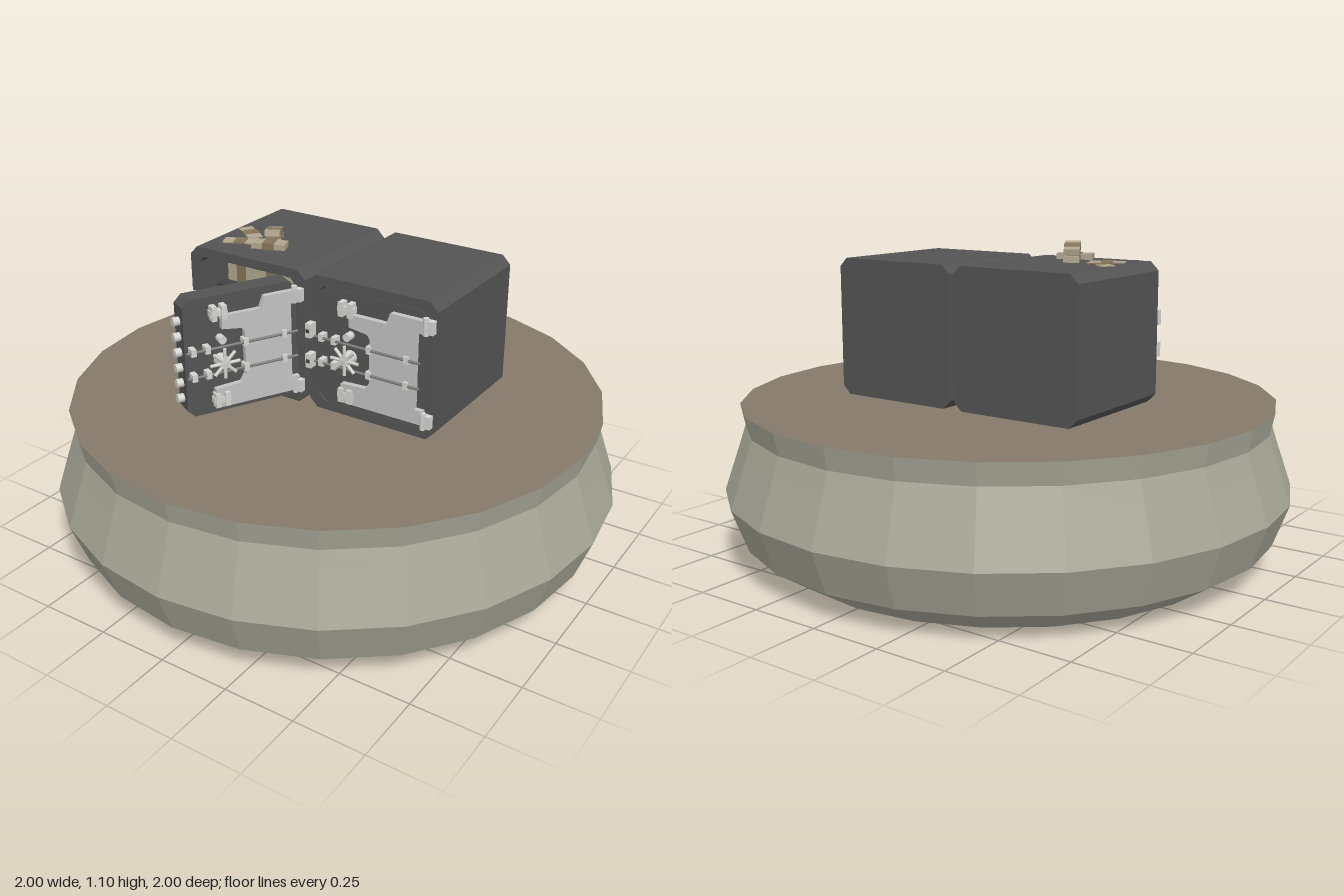
import * as THREE from 'three';

const mat = (name, color) => {
  const m = new THREE.MeshStandardMaterial({ color });
  m.name = name;
  return m;
};

export function createModel() {
  const stone = mat('stone', 0xa8a898);
  const earth = mat('earth', 0x86796a);
  const steel = mat('dark steel', 0x545454);
  const inner = mat('interior', 0x424242);
  const plateMat = mat('plate grey', 0xc2c2c2);
  const silver = mat('silver', 0xd4d4d2);
  const rodMat = mat('rod grey', 0x7c7c7c);
  const paper = mat('paper', 0xb0a68e);
  const band = mat('paper band', 0x85745a);

  const root = new THREE.Group();
  root.name = 'safesOnPedestal';

  const add = (parent, name, geo, material, x = 0, y = 0, z = 0) => {
    const m = new THREE.Mesh(geo, material);
    m.name = name;
    m.position.set(x, y, z);
    parent.add(m);
    return m;
  };
  const box = (parent, name, material, w, h, d, x, y, z) =>
    add(parent, name, new THREE.BoxGeometry(w, h, d), material, x, y, z);
  const group = (parent, name, x = 0, y = 0, z = 0) => {
    const g = new THREE.Group();
    g.name = name;
    g.position.set(x, y, z);
    parent.add(g);
    return g;
  };

  // Rectangle with cut corners, centred on cx, 0
  const cutRect = (w, h, c, cx = 0) => {
    const a = w / 2, b = h / 2;
    return [[-a + c, -b], [a - c, -b], [a, -b + c], [a, b - c], [a - c, b], [-a + c, b], [-a, b - c], [-a, -b + c]]
      .map(([x, y]) => new THREE.Vector2(x + cx, y));
  };
  const slab = (points, depth, hole) => {
    const s = new THREE.Shape(points);
    if (hole) s.holes.push(new THREE.Path(hole));
    return new THREE.ExtrudeGeometry(s, { depth, bevelEnabled: false });
  };

  // Faceted round pedestal
  const profile = [[0, 0], [0.81, 0], [0.945, 0.09], [1, 0.24], [0.945, 0.40], [0.922, 0.47], [0.937, 0.545]]
    .map(([r, y]) => new THREE.Vector2(r, y));
  const pedestal = new THREE.LatheGeometry(profile, 24).toNonIndexed();
  pedestal.computeVertexNormals();
  add(root, 'pedestal', pedestal, stone);
  add(root, 'pedestalTop', new THREE.CircleGeometry(0.937, 24).rotateX(-Math.PI / 2), earth, 0, 0.545, 0);

  // Banded bundle of notes
  const bundle = (parent, x, y, z, turn = 0, tilt = 0, len = 0.12) => {
    const g = group(parent, 'noteBundle', x, y, z);
    g.rotation.set(0, turn, tilt);
    box(g, 'notes', paper, len, 0.02, 0.052, 0, 0, 0);
    box(g, 'noteBand', band, 0.04, 0.024, 0.055, 0, 0, 0);
  };

  // Door: hinge on the right edge at x = 0, outer face at z = 0
  const buildDoor = (parent) => {
    const g = group(parent, 'door');
    add(g, 'doorPanel', slab(cutRect(0.405, 0.415, 0.025, -0.2035), 0.07), steel, 0, 0, -0.07);
    add(g, 'innerPanel', slab(cutRect(0.34, 0.35, 0.03, -0.2035), 0.006), rodMat, 0, 0, -0.076);

    // Raised cover plate with bracket shaped outline
    const outline = [[-0.31, -0.185], [0, -0.185], [0, -0.135], [-0.03, -0.135], [-0.03, 0.135], [0, 0.135],
      [0, 0.18], [-0.125, 0.18], [-0.14, 0.14], [-0.28, 0.14], [-0.28, 0.095], [-0.21, 0.085],
      [-0.2, 0.07], [-0.2, -0.085], [-0.215, -0.11], [-0.31, -0.115]];
    add(g, 'coverPlate', slab(outline.map(([x, y]) => new THREE.Vector2(x, y)), 0.02), plateMat);

    // Corner brackets
    for (const y of [0.155, -0.155]) {
      box(g, 'bracketBase', silver, 0.06, 0.02, 0.026, -0.29, y, 0.013);
      for (const x of [-0.307, -0.273]) box(g, 'bracketTab', silver, 0.018, 0.05, 0.03, x, y, 0.015);
    }
    // Cross rods with clips
    for (const y of [0.035, -0.055]) {
      const rod = new THREE.CylinderGeometry(0.005, 0.005, 0.4, 8).rotateZ(Math.PI / 2);
      add(g, 'crossRod', rod, rodMat, -0.21, y, 0.025);
      for (const x of [-0.385, -0.335, -0.2, -0.06]) box(g, 'rodClip', silver, 0.018, 0.026, 0.03, x, y, 0.015);
    }
    // Spoked hand wheel
    const wheel = group(g, 'handWheel', -0.283, -0.018, 0);
    add(wheel, 'wheelHub', new THREE.CylinderGeometry(0.02, 0.024, 0.045, 12).rotateX(Math.PI / 2), silver, 0, 0, 0.022);
    for (let i = 0; i < 4; i++) {
      const spoke = new THREE.CylinderGeometry(0.006, 0.006, 0.105, 8);
      add(wheel, 'wheelSpoke', spoke, silver, 0, 0, 0.04).rotation.z = (i * Math.PI) / 4;
    }
    // Dial below the rods
    add(g, 'dial', new THREE.CylinderGeometry(0.014, 0.014, 0.03, 12).rotateX(Math.PI / 2), silver, -0.283, 0.06, 0.015);
    // Locking bolts on the free edge
    for (let i = 0; i < 6; i++) {
      const bolt = new THREE.CylinderGeometry(0.015, 0.015, 0.024, 12).rotateZ(Math.PI / 2);
      add(g, 'lockingBolt', bolt, silver, -0.416, -0.145 + i * 0.055, -0.035);
    }
    return g;
  };

  // Hollow safe with door and frame fittings
  const buildSafe = (name, cx, angle) => {
    const g = group(root, name, cx, 0.788, 0);
    const outer = cutRect(0.484, 0.484, 0.03);
    add(g, 'safeShell', slab(outer, 0.465, cutRect(0.414, 0.418, 0.025).reverse()), steel, 0, 0, -0.29);
    add(g, 'safeBack', slab(outer, 0.04), steel, 0, 0, -0.33);
    const door = buildDoor(g);
    door.position.set(0.206, 0, 0.175);
    door.rotation.y = angle;
    // Hinges on the right of the frame, catches on the left
    for (const y of [0.162, -0.17]) {
      box(g, 'hingeLeaf', silver, 0.026, 0.045, 0.024, 0.224, y, 0.185);
      add(g, 'hingePin', new THREE.CylinderGeometry(0.01, 0.01, 0.06, 10), silver, 0.208, y, 0.19);
    }
    for (const y of [0.05, -0.06]) {
      box(g, 'catch', silver, 0.022, 0.05, 0.036, -0.227, y, 0.19);
      box(g, 'catchSlot', inner, 0.012, 0.012, 0.006, -0.227, y, 0.208);
    }
    return g;
  };

  buildSafe('closedSafe', 0.247, 0);
  const open = buildSafe('openSafe', -0.253, (62 * Math.PI) / 180);

  // Shelves and contents of the open safe
  box(open, 'interiorBack', inner, 0.41, 0.415, 0.005, 0, 0, -0.285);
  box(open, 'shelf', inner, 0.414, 0.015, 0.36, 0, 0.07, -0.1);
  box(open, 'shelf', inner, 0.414, 0.015, 0.36, 0, -0.09, -0.1);
  for (let i = 0; i < 3; i++)
    for (let j = 0; j < 2; j++) bundle(open, -0.13 + j * 0.13, 0.09 + i * 0.021, 0.01);
  bundle(open, -0.15, -0.07, 0.02, 0.5);
  bundle(open, -0.11, -0.05, 0.03, -0.6, 0.25);
  bundle(open, -0.03, -0.07, 0, 0.9);

  // Loose bundles on the roof
  bundle(root, -0.395, 1.024, -0.04, -0.6);
  bundle(root, -0.37, 1.024, 0.05, 0.4);
  bundle(root, -0.26, 1.042, 0, -1.05, 0, 0.11);
  bundle(root, -0.24, 1.045, 0.055, 0.35);
  bundle(root, -0.255, 1.076, 0.01, -1.05, 0.2, 0.11);

  return root;
}
